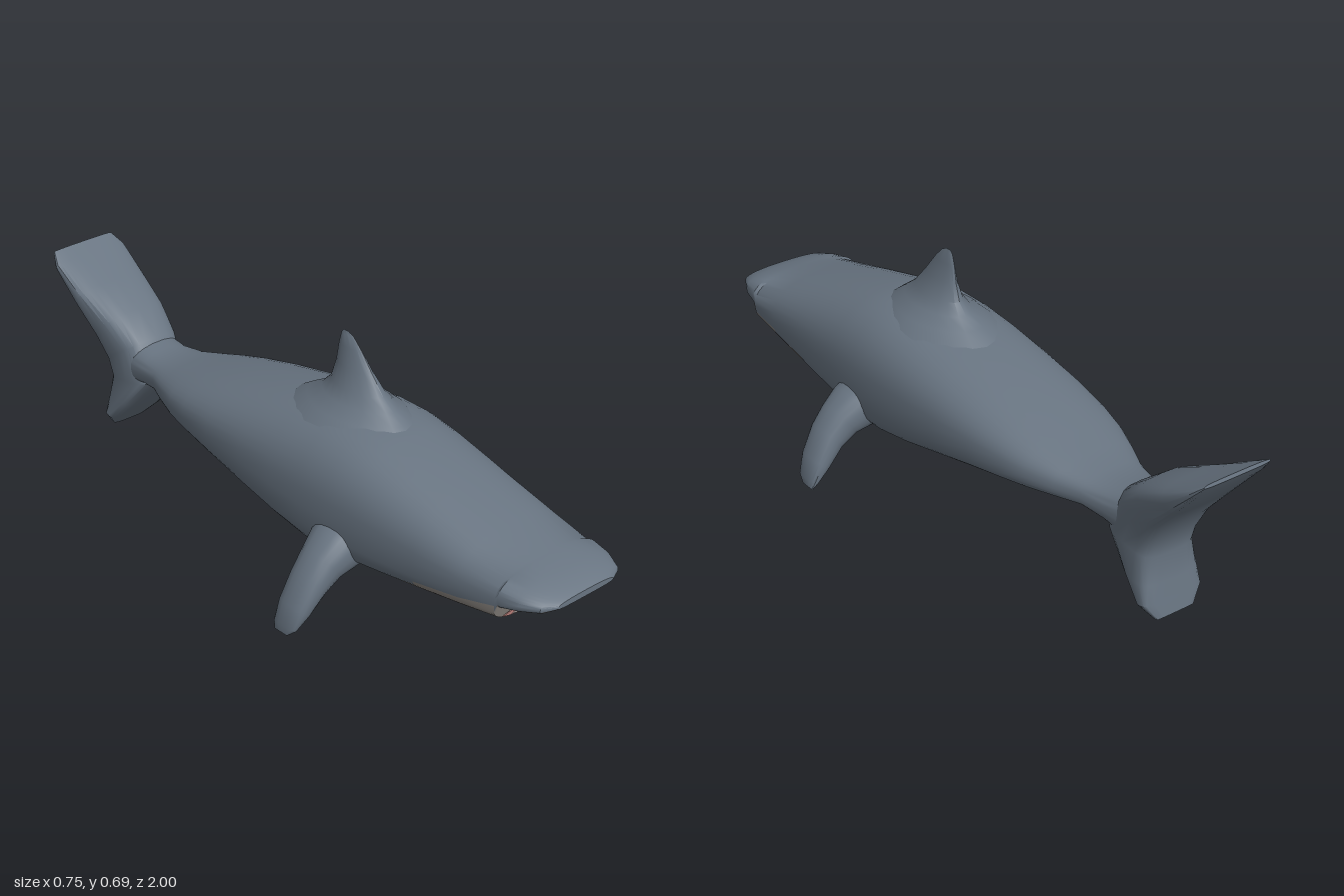
import * as THREE from 'three';
import { toCreasedNormals } from 'three/addons/utils/BufferGeometryUtils.js';

const mat = (name, color) => {
  const m = new THREE.MeshStandardMaterial({ color });
  m.name = name;
  return m;
};
const V = (x, y, z) => new THREE.Vector3(x, y, z);

// Rounded closed ring: u is the half width, up and down the two half heights.
// Exponents below 1 square the outline, 1 gives an ellipse.
function ring(center, u, up, down, pUp, pDown, sides) {
  const points = [];
  for (let i = 0; i < sides; i++) {
    const a = (i / sides) * Math.PI * 2;
    const c = Math.cos(a), s = Math.sin(a);
    const p = s >= 0 ? pUp : pDown;
    points.push(center.clone()
      .addScaledVector(u, Math.sign(c) * Math.abs(c) ** p)
      .addScaledVector(s >= 0 ? up : down, Math.abs(s) ** p));
  }
  return points;
}

// Skin over rings with capped ends; second(center) sends a face to material 1.
function loft(rings, second = () => false) {
  const n = rings[0].length, pts = rings.flat(), faces = [];
  for (let r = 0; r < rings.length - 1; r++) {
    for (let i = 0; i < n; i++) {
      const a = r * n + i, b = r * n + (i + 1) % n;
      faces.push([a, b, b + n], [a, b + n, a + n]);
    }
  }
  const cap = (start, list, flip) => {
    const mid = list.reduce((t, p) => t.add(p), V(0, 0, 0)).divideScalar(n);
    const k = pts.push(mid) - 1;
    for (let i = 0; i < n; i++) {
      const a = start + i, b = start + (i + 1) % n;
      faces.push(flip ? [k, b, a] : [k, a, b]);
    }
  };
  cap(0, rings[0], true);
  cap((rings.length - 1) * n, rings[rings.length - 1], false);

  // Turn the faces outward whichever way the rings run
  let volume = 0;
  for (const [a, b, c] of faces) volume += pts[a].dot(V(0, 0, 0).crossVectors(pts[b], pts[c]));
  if (volume < 0) faces.forEach((f) => f.reverse());

  const sets = [[], []];
  for (const f of faces) {
    const mid = V(0, 0, 0);
    f.forEach((k) => mid.addScaledVector(pts[k], 1 / 3));
    sets[second(mid) ? 1 : 0].push(...f);
  }
  const g = new THREE.BufferGeometry().setFromPoints(pts);
  g.setIndex([...sets[0], ...sets[1]]);
  g.addGroup(0, sets[0].length, 0);
  g.addGroup(sets[0].length, sets[1].length, 1);
  return toCreasedNormals(g, 0.6);
}

export function createModel() {
  const skin = mat('slate skin', 0x687481);
  const belly = mat('pale belly', 0x8a8580);
  const gum = mat('pink gum', 0xb57d78);
  const ivory = mat('ivory teeth', 0xd6d0cc);
  const group = new THREE.Group();
  const add = (name, geometry, material) => {
    const mesh = new THREE.Mesh(geometry, material);
    mesh.name = name;
    group.add(mesh);
    return mesh;
  };

  // Body stations: z, top, bottom, half width
  const stations = [
    [1, 0.312, 0.294, 0.1], [0.98, 0.325, 0.286, 0.14], [0.93, 0.342, 0.273, 0.166],
    [0.875, 0.356, 0.258, 0.177], [0.865, 0.358, 0.222, 0.178], [0.75, 0.39, 0.2, 0.187],
    [0.6, 0.432, 0.176, 0.198], [0.5, 0.457, 0.163, 0.207], [0.4, 0.482, 0.15, 0.214],
    [0.3, 0.5, 0.138, 0.22], [0.2, 0.5, 0.141, 0.221], [0.08, 0.485, 0.163, 0.219],
    [-0.05, 0.463, 0.193, 0.212], [-0.2, 0.432, 0.226, 0.2], [-0.32, 0.404, 0.246, 0.183],
    [-0.4, 0.383, 0.256, 0.165], [-0.48, 0.363, 0.262, 0.135], [-0.55, 0.348, 0.264, 0.104],
    [-0.62, 0.346, 0.252, 0.089], [-0.7, 0.365, 0.235, 0.085],
  ];
  const bodyRings = stations.map(([z, top, bottom, w]) => {
    const y = bottom + (top - bottom) * 0.4;
    return ring(V(0, y, z), V(w, 0, 0), V(0, top - y, 0), V(0, bottom - y, 0), 0.8, 0.55, 40);
  });
  add('body', loft(bodyRings, (p) => p.z < 0.99 && p.y < 0.09 + 0.21 * p.z), [skin, belly]);

  // Tail fin, upper tip to lower tip: lead z, y, trail z, y, half width
  const tail = [
    [-0.997, 0.556, -1, 0.546, 0.105], [-0.955, 0.534, -0.975, 0.51, 0.122],
    [-0.85, 0.48, -0.9, 0.42, 0.118], [-0.74, 0.427, -0.83, 0.335, 0.106],
    [-0.66, 0.366, -0.8, 0.27, 0.093], [-0.61, 0.252, -0.79, 0.225, 0.089],
    [-0.69, 0.155, -0.8, 0.15, 0.094], [-0.755, 0.088, -0.808, 0.1, 0.096],
    [-0.8, 0.045, -0.815, 0.055, 0.06],
  ];
  add('tailFin', loft(tail.map(([lz, ly, tz, ty, w]) => {
    const half = V(0, (ly - ty) / 2, (lz - tz) / 2);
    return ring(V(0, (ly + ty) / 2, (lz + tz) / 2), V(w, 0, 0), half,
      half.clone().negate(), 0.65, 0.5, 24);
  })), skin);

  // Dorsal fin: y, front z, back z, half width
  const dorsal = [
    [0.465, 0.4, -0.03, 0.14], [0.495, 0.36, 0.02, 0.105], [0.52, 0.325, 0.065, 0.07],
    [0.55, 0.285, 0.095, 0.047], [0.6, 0.242, 0.11, 0.026], [0.65, 0.202, 0.117, 0.012],
    [0.68, 0.172, 0.125, 0.005], [0.69, 0.152, 0.133, 0.001],
  ];
  add('dorsalFin', loft(dorsal.map(([y, f, b, w]) => ring(V(0, y, (f + b) / 2), V(w, 0, 0),
    V(0, 0, (f - b) / 2), V(0, 0, (b - f) / 2), 1.1, 1.1, 20))), skin);

  // Pectoral fins: upper x, y, lower x, y, middle z, half length
  const pectoral = [
    [0.19, 0.28, 0.12, 0.15, 0.315, 0.085], [0.235, 0.255, 0.17, 0.14, 0.32, 0.075],
    [0.28, 0.215, 0.215, 0.128, 0.322, 0.062], [0.32, 0.165, 0.262, 0.1, 0.322, 0.056],
    [0.36, 0.09, 0.31, 0.05, 0.317, 0.05], [0.376, 0.03, 0.35, 0.018, 0.312, 0.04],
    [0.376, 0.008, 0.368, 0, 0.305, 0.023],
  ];
  for (const [name, s] of [['leftPectoralFin', 1], ['rightPectoralFin', -1]]) {
    add(name, loft(pectoral.map(([ux, uy, lx, ly, z, h]) => ring(
      V(s * (ux + lx) / 2, (uy + ly) / 2, z), V(s * (ux - lx) / 2, (uy - ly) / 2, 0),
      V(0, 0, h), V(0, 0, -h), 0.85, 0.85, 20))), skin);
  }

  // Lens-shaped plates for the mouth under the snout
  const lens = (w, h) => {
    const shape = new THREE.Shape();
    shape.moveTo(-w, 0);
    shape.bezierCurveTo(-w * 0.6, -h, w * 0.6, -h, w, 0);
    shape.bezierCurveTo(w * 0.6, h, -w * 0.6, h, -w, 0);
    return new THREE.ExtrudeGeometry(shape, { depth: 0.003, bevelEnabled: false });
  };
  add('mouth', lens(0.155, 0.018), gum).position.set(0, 0.241, 0.874);
  add('teeth', lens(0.125, 0.009), ivory).position.set(0, 0.238, 0.876);

  return group;
}
